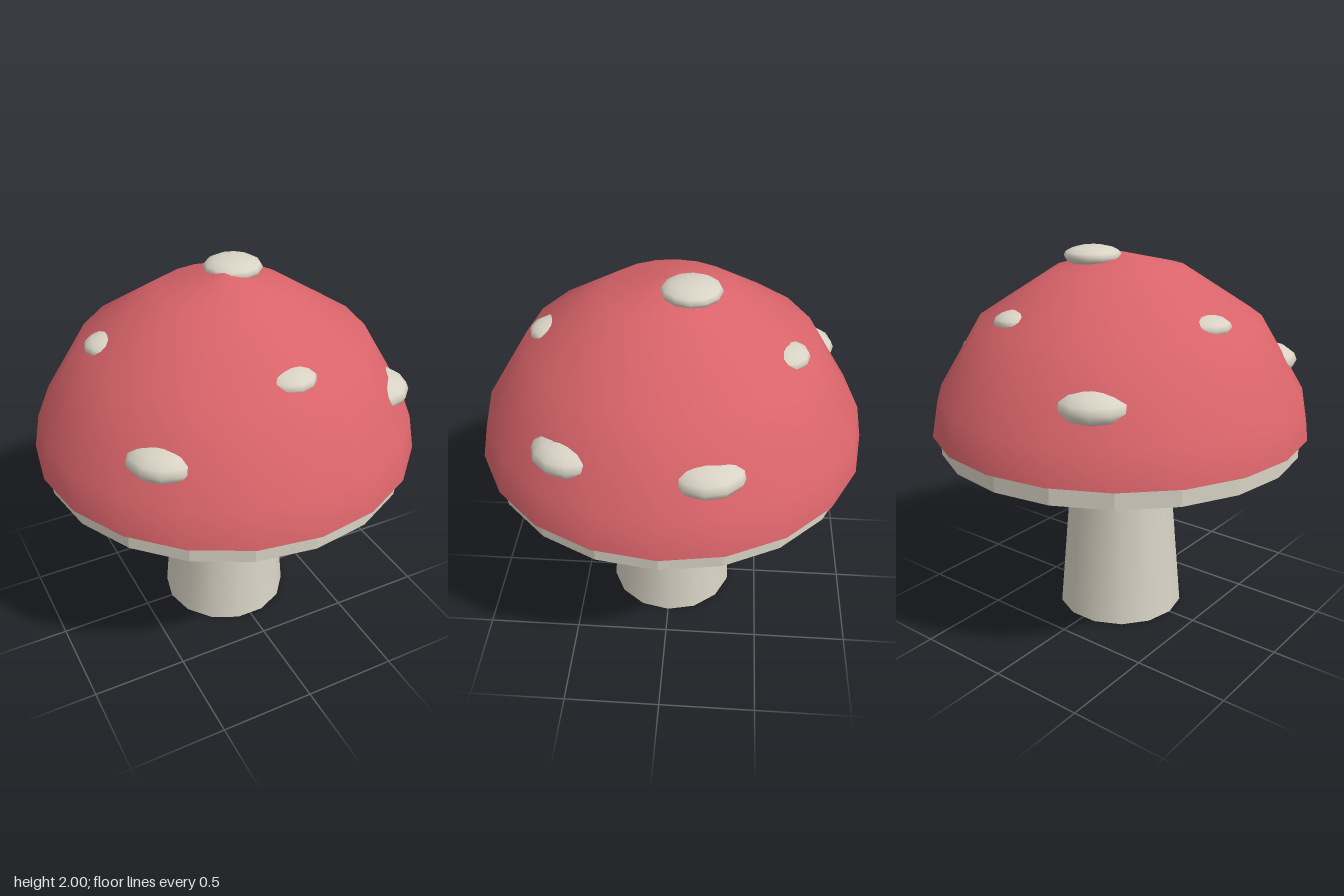
import * as THREE from 'three';

export function createModel() {
  const model = new THREE.Group();
  model.name = 'mushroom';
  const red = new THREE.MeshStandardMaterial({ color: 0xd9646a });
  red.name = 'capRed';
  const cream = new THREE.MeshStandardMaterial({ color: 0xd9d3c5 });
  cream.name = 'cream';

  const add = (name, geometry, material) => {
    const mesh = new THREE.Mesh(geometry, material);
    mesh.name = name;
    model.add(mesh);
    return mesh;
  };
  const lathe = (points, sides) =>
    new THREE.LatheGeometry(points.map(([r, y]) => new THREE.Vector2(r, y)), sides, Math.PI / 2);

  // Smooth domed cap with a closed underside
  add('cap', lathe([[1, 1.065], [0.965, 1.25], [0.73, 1.64], [0.34, 1.888], [0, 1.965]], 20), red);
  const under = add('capUnderside', new THREE.CircleGeometry(1, 20), red);
  under.rotation.x = Math.PI / 2;
  under.position.y = 1.065;

  // Faceted gill disc with a shallow cone beneath
  const gills = lathe([[0, 0.93], [0.96, 0.965], [0.96, 1.065]], 20).toNonIndexed();
  gills.computeVertexNormals();
  add('gills', gills, cream);

  // Tapered stem, flaring where it meets the gills
  add('stem', lathe([[0.345, 0], [0.27, 0.87], [0.31, 0.95]], 14), cream);
  const base = add('stemBase', new THREE.CircleGeometry(0.345, 14), cream);
  base.rotation.x = Math.PI / 2;

  // Flattened spots: azimuth in degrees from +z towards +x, distance, height, radius, half thickness
  const spots = [
    [135, 0.141, 1.947, 0.15, 0.053],
    [-47, 0.75, 1.387, 0.195, 0.09],
    [56, 0.75, 1.387, 0.195, 0.09],
    [106, 0.75, 1.387, 0.195, 0.09],
    [209, 0.75, 1.387, 0.195, 0.09],
    [4, 0.575, 1.67, 0.132, 0.056],
    [160, 0.575, 1.67, 0.132, 0.056],
    [261, 0.575, 1.67, 0.132, 0.056],
  ];
  const ball = new THREE.SphereGeometry(1, 12, 8);
  for (const [azimuth, distance, height, radius, thickness] of spots) {
    const a = THREE.MathUtils.degToRad(azimuth);
    const spot = add('spot', ball, cream);
    spot.position.set(Math.sin(a) * distance, height, Math.cos(a) * distance);
    spot.scale.set(radius, thickness, radius);
  }
  return model;
}
